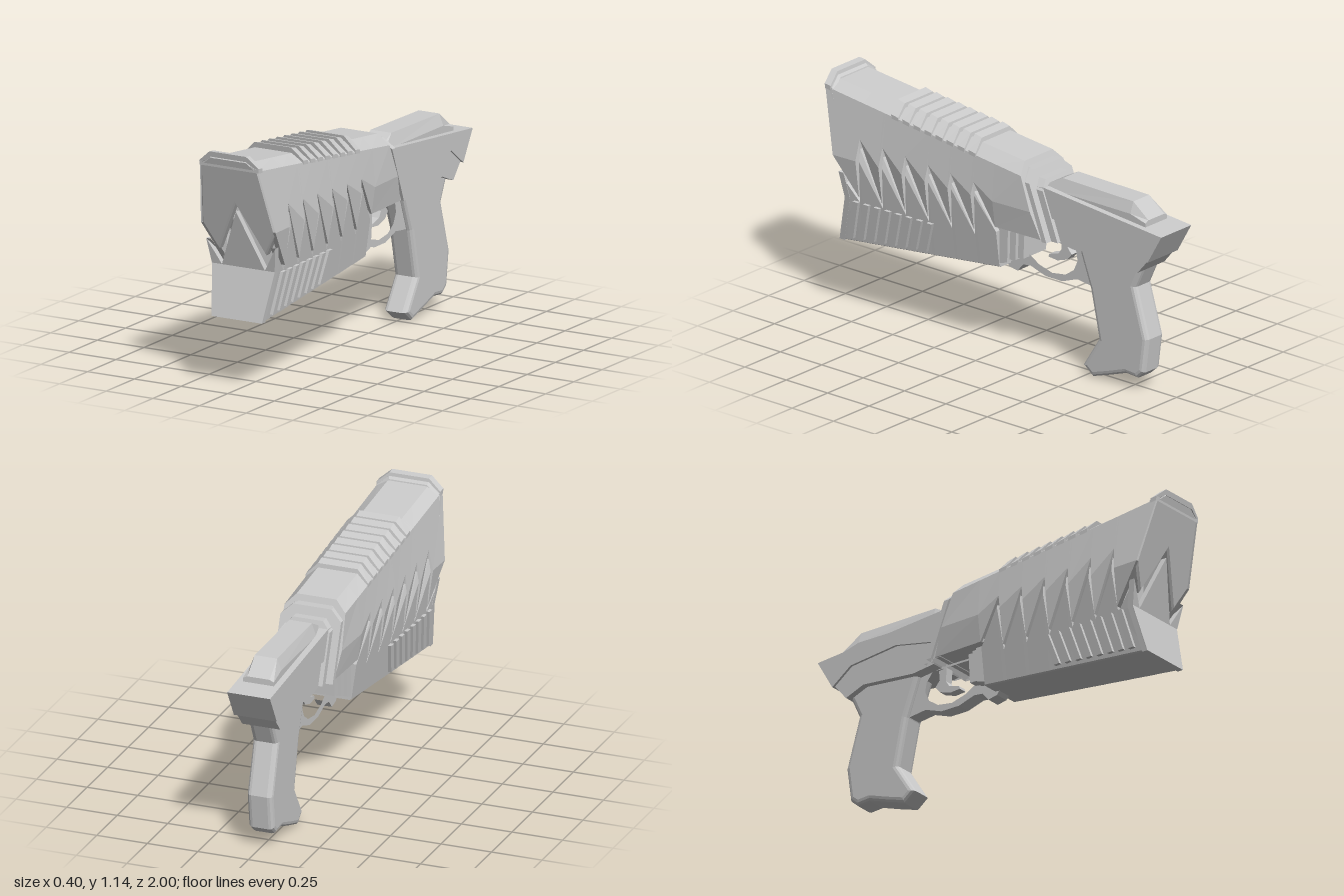
import * as THREE from 'three';

const lerp = (a, b, t) => a + (b - a) * t;
const solid = new THREE.MeshStandardMaterial({ color: 0xcccccc, flatShading: true });
const open = new THREE.MeshStandardMaterial({ color: 0xcccccc, flatShading: true, side: THREE.DoubleSide });

// Guide lines of the shell, all in side-view coordinates
const topY = z => 1.11 - (1 - z) * 0.108;
const chamferY = z => 1.075 - (0.99 - z) * 0.123;
const bottomY = z => 0.335 + (0.92 - z) * 0.1;
const frontZ = y => (y < 0.57 ? 0.86 + (0.57 - y) * 0.255 : 0.86 + (y - 0.6) * 0.27);
const backZ = y => -0.166 - (0.984 - y) * 0.385;
const CREASE = 0.77, TOP_W = 0.098;

// Half width of the shell: widest at the crease, tapering to the rear
function halfWidth(z, y) {
  const f = (z + 0.3) / 1.2;
  const wide = lerp(0.158, 0.2, f);
  if (y < CREASE) return wide - (CREASE - y) * 0.14;
  return lerp(wide, lerp(0.15, 0.155, f), Math.min(1, (y - CREASE) / (chamferY(z) - CREASE)));
}

// Skin over mirrored half-sections; each section is a list of [x, y, z] with x > 0
function loft(name, sections, capFront = false, capBack = false) {
  const full = sections.map(h => [...h, ...h.slice().reverse().map(([x, y, z]) => [-x, y, z])]);
  const pos = [];
  const quad = (a, b, c, d) => pos.push(...a, ...b, ...c, ...a, ...c, ...d);
  for (let i = 0; i < full.length - 1; i++)
    for (let j = 0; j < full[i].length - 1; j++)
      quad(full[i][j], full[i][j + 1], full[i + 1][j + 1], full[i + 1][j]);
  const cap = s => {
    const n = s.length;
    for (let j = 0; j < n / 2 - 1; j++) quad(s[j], s[j + 1], s[n - 2 - j], s[n - 1 - j]);
  };
  if (capFront) cap(full[0]);
  if (capBack) cap(full[full.length - 1]);
  const geo = new THREE.BufferGeometry();
  geo.setAttribute('position', new THREE.Float32BufferAttribute(pos, 3));
  geo.computeVertexNormals();
  const mesh = new THREE.Mesh(geo, open);
  mesh.name = name;
  return mesh;
}

const shapeOf = pts => new THREE.Shape(pts.map(p => new THREE.Vector2(...p)));

// Side profile in [z, y], extruded symmetrically across x
function prism(name, pts, half, bevel = 0, hole = null, segments = 1) {
  const shape = shapeOf(pts);
  if (hole) shape.holes.push(new THREE.Path(hole.map(p => new THREE.Vector2(...p))));
  const depth = 2 * (half - bevel);
  const geo = new THREE.ExtrudeGeometry(shape, {
    depth, bevelEnabled: bevel > 0, bevelSize: bevel, bevelThickness: bevel, bevelOffset: -bevel, bevelSegments: segments,
  });
  geo.translate(0, 0, -depth / 2).rotateY(-Math.PI / 2);
  const mesh = new THREE.Mesh(geo, solid);
  mesh.name = name;
  return mesh;
}

// Front plate in [x, y], leaned to follow the nose line
function nosePlate(name, pts, bevel = 0) {
  const geo = new THREE.ExtrudeGeometry(shapeOf(pts), {
    depth: 0.03, bevelEnabled: bevel > 0, bevelSize: bevel, bevelThickness: bevel, bevelOffset: -bevel, bevelSegments: 1,
  });
  geo.translate(0, 0, -0.03 - bevel);
  const p = geo.attributes.position;
  for (let i = 0; i < p.count; i++) p.setZ(i, p.getZ(i) + frontZ(p.getY(i)));
  geo.computeVertexNormals();
  const mesh = new THREE.Mesh(geo, open);
  mesh.name = name;
  return mesh;
}
const mirrored = half => [...half, ...half.filter(p => p[0] > 0).reverse().map(([x, y]) => [-x, y])];

export function createModel() {
  const group = new THREE.Group();
  const add = (...m) => group.add(...m);

  // Sawtooth seam between the two shell halves
  const seam = [[0.905, 0.77]];
  for (let i = 0; i < 6; i++) {
    const z = 0.773 - i * 0.135;
    seam.push([z, 0.585 + i * 0.002], [z - 0.012, 0.877 - i * 0.0085]);
  }
  seam.push([-0.03, 0.64]);

  // Upper shell
  const upper = [...seam, [-0.3, 0.64]].map(([z, y], i) => {
    const at = yy => (i === 0 ? frontZ(yy) : i === seam.length ? backZ(yy) : z);
    const zTop = i === 0 ? 1 : at(0.984), zCh = at(i === 0 ? 1.075 : 0.93);
    const mid = Math.max(y, CREASE), w = halfWidth(z, y);
    return [
      [w - 0.025, y, at(y)], [w, y, at(y)], [halfWidth(z, mid), mid, at(mid)],
      [halfWidth(zCh, chamferY(zCh)), chamferY(zCh), zCh], [TOP_W, topY(zTop), zTop],
    ];
  });
  add(loft('upperShell', upper, false, true));

  // Lower shell, nested just beneath the seam
  const lower = seam.map(([z, y], i) => {
    const peak = i > 0 && i % 2 === 0;
    const yy = i === 0 ? 0.69 : y - (peak ? 0.045 : 0.028);
    const at = v => (i === 0 ? frontZ(v) : peak ? z - 0.006 : z);
    const low = bottomY(i === 0 ? 0.92 : z), bend = Math.min(yy, 0.565), mid = Math.min(yy, CREASE);
    const pt = v => [halfWidth(z, v) - 0.004, v, at(v)];
    const rim = pt(yy);
    return [[rim[0] - 0.025, yy, at(yy)], rim, pt(mid), pt(bend), pt(low + 0.005), [halfWidth(z, low) - 0.012, low, at(low)]];
  });
  add(loft('lowerShell', lower, false, true));

  // Toothed nose plates
  add(nosePlate('upperNose', mirrored([[0, 0.89], [0.125, 0.645], [0.197, 0.77], [0.155, 1.075], [TOP_W, 1.12]]), 0.01));
  add(nosePlate('lowerNose', mirrored([[0.135, 0.335], [0.168, 0.57]])));
  add(nosePlate('noseTooth', mirrored([[0.115, 0.57], [0, 0.85]])));
  for (const s of [1, -1]) add(nosePlate('noseCorner', [[0.115 * s, 0.57], [0.168 * s, 0.57], [0.185 * s, 0.69]]));

  // Front lip and grip ribs on the top
  const band = (z0, z1, lift, tilt = 0) => [z0, z1].map((z, i) => {
    const h = i ? lift - tilt : lift, c = chamferY(z);
    return [[halfWidth(z, c) + 0.003, c - 0.01, z - 0.012], [halfWidth(z, c) + 0.003, c + h * 0.4, z - 0.01], [TOP_W, topY(z) + h, z]];
  });
  add(loft('frontLip', band(1.0, 0.965, 0.03), true, true));
  for (let i = 0; i < 8; i++) {
    const z = 0.6 - i * 0.0665;
    add(loft('topRib', band(z, z - 0.042, 0.026, 0.006), true, true));
  }

  // Slanted raised fins low on both sides
  for (let i = 0; i < 8; i++) {
    const zt = 0.805 - i * 0.062, base = 0.365 + i * 0.006;
    for (const s of [1, -1]) {
      const fin = prism('sideFin', [[zt, 0.56], [zt + 0.05, base], [zt + 0.018, base], [zt - 0.032, 0.56]], 0.01);
      const p = fin.geometry.attributes.position;
      for (let k = 0; k < p.count; k++) p.setX(k, p.getX(k) + s * (halfWidth(p.getZ(k), p.getY(k)) + 0.003));
      add(fin);
    }
  }

  // Inner core behind the seam, and the floor under the rear of the upper shell
  add(prism('innerCore', [[0.72, 0.4], [0.72, 0.98], [-0.15, 0.92], [-0.27, 0.65], [-0.02, 0.64], [-0.02, 0.46]], 0.1));
  add(prism('rearFloor', [[-0.02, 0.64], [-0.02, 0.665], [-0.288, 0.665], [-0.298, 0.64]], 0.138));

  // Stepped collars at the back of the upper shell
  const collar = (name, dz, w, tw, top, shoulder, depth) => loft(name, [0, -depth].map(o => [
    [w, 0.637, backZ(0.637) + dz + o], [w, shoulder, backZ(shoulder) + dz + o], [tw, top, backZ(top) + dz + o],
  ]), true, true);
  add(collar('collarInner', 0.03, 0.135, 0.085, 0.955, 0.9, 0.05));
  add(collar('collarOuter', -0.015, 0.15, 0.095, 0.955, 0.905, 0.027));
  add(collar('collarRear', -0.03, 0.115, 0.075, 0.915, 0.87, 0.05));

  // Stepped block behind the lower shell
  add(prism('rearStep', [[0, 0.635], [-0.08, 0.635], [-0.075, 0.465], [0, 0.44]], 0.115));
  add(prism('rearStep', [[-0.05, 0.635], [-0.115, 0.635], [-0.11, 0.48], [-0.05, 0.47]], 0.098));
  add(prism('rearStep', [[-0.1, 0.635], [-0.15, 0.635], [-0.143, 0.49], [-0.1, 0.485]], 0.08));

  // Rear frame, its inset side panel and the top hump
  add(prism('rearFrame', [[-0.24, 0.88], [-0.29, 0.885], [-0.998, 0.82], [-0.915, 0.675], [-0.81, 0.755], [-0.55, 0.785], [-0.35, 0.745], [-0.29, 0.745]], 0.106));
  add(prism('framePanel', [[-0.28, 0.76], [-0.55, 0.8], [-0.81, 0.77], [-0.91, 0.682], [-0.845, 0.605], [-0.745, 0.645], [-0.46, 0.62], [-0.34, 0.635]], 0.094));
  add(loft('topHump', [[-0.27, 0.888], [-0.36, 0.936], [-0.786, 0.93], [-0.877, 0.86]].map(([z, y]) => [
    [0.076, 0.82, z], [0.076, Math.min(y, 0.885) - 0.01, z], [0.055, y, z],
  ]), true, true));

  // Grip
  add(prism('grip', [[-0.45, 0.64], [-0.525, 0.433], [-0.575, 0.2], [-0.48, 0.05], [-0.54, 0.003], [-0.64, 0.035],
    [-0.74, 0.07], [-0.81, 0.065], [-0.85, 0.1], [-0.872, 0.267], [-0.8, 0.51], [-0.85, 0.62], [-0.75, 0.68]], 0.063, 0.024, null, 3));

  // Trigger guard and trigger
  add(prism('triggerGuard', [[0.01, 0.45], [-0.02, 0.41], [-0.07, 0.4], [-0.105, 0.44], [-0.15, 0.445], [-0.24, 0.417],
    [-0.34, 0.417], [-0.43, 0.45], [-0.53, 0.437], [-0.53, 0.66], [-0.1, 0.66], [-0.03, 0.5]], 0.036, 0,
  [[-0.15, 0.63], [-0.143, 0.5], [-0.2, 0.465], [-0.28, 0.443], [-0.36, 0.455], [-0.41, 0.49], [-0.433, 0.54], [-0.425, 0.585], [-0.39, 0.63]]));
  add(prism('trigger', [[-0.32, 0.64], [-0.365, 0.64], [-0.36, 0.585], [-0.385, 0.555], [-0.36, 0.525], [-0.3, 0.505],
    [-0.245, 0.51], [-0.25, 0.525], [-0.305, 0.54], [-0.325, 0.57]], 0.022));

  return group;
}
